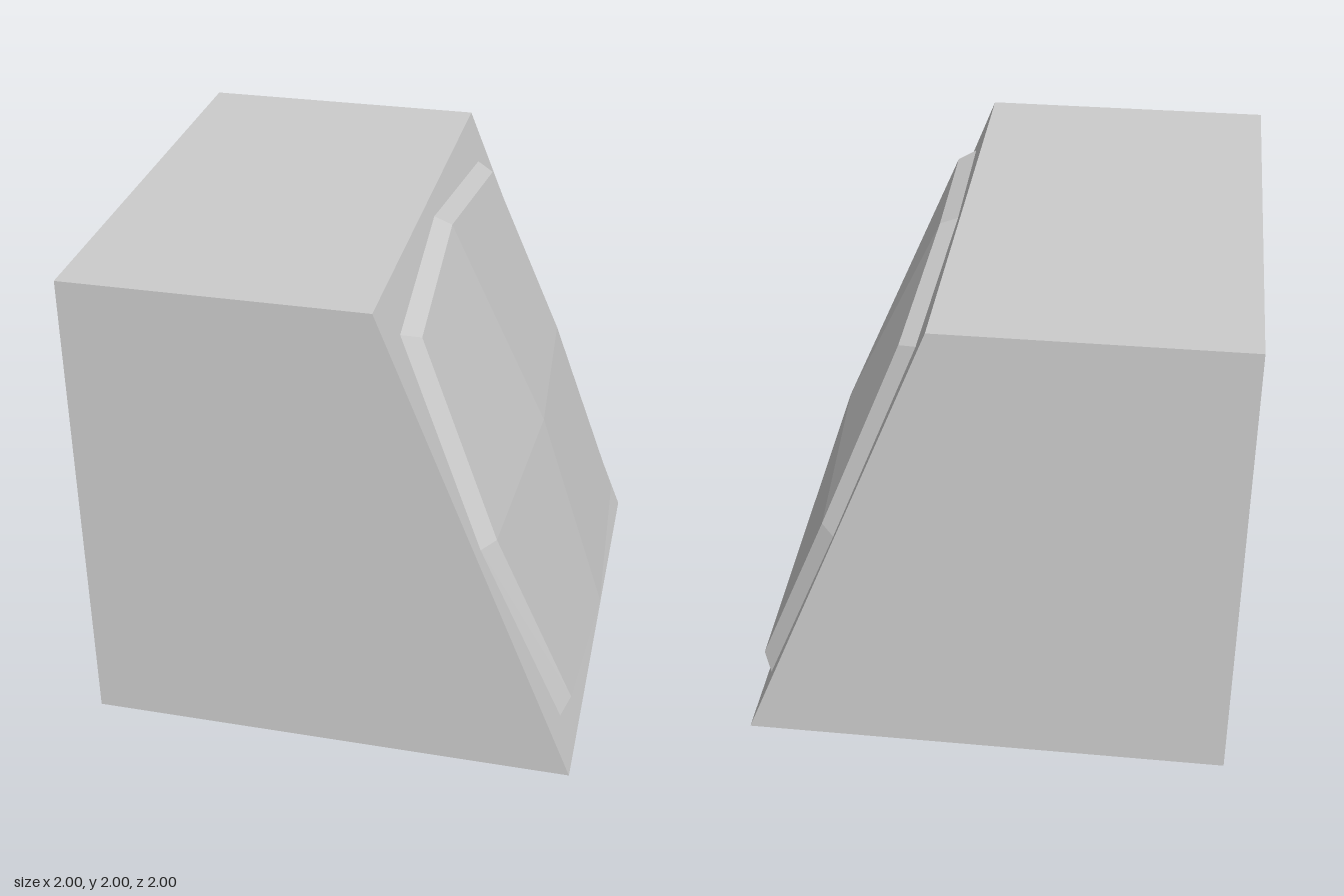
import * as THREE from 'three';

const TOP_X = 0.185, BOTTOM_X = 0.99;

// Eight-point outline, counter-clockwise: edge midpoints bow out past the corners
function outline(midX, midY, cornerX, cornerY, z) {
  return [
    [midX, 0], [cornerX, cornerY], [0, midY], [-cornerX, cornerY],
    [-midX, 0], [-cornerX, -cornerY], [0, -midY], [cornerX, -cornerY],
  ].map(([x, y]) => new THREE.Vector3(x, y, z));
}

// Flat-shaded quads: both halves share one normal, split along a-c
function quadGeometry(quads) {
  const positions = [], normals = [];
  for (const [a, b, c, d] of quads) {
    const n = c.clone().sub(a).cross(d.clone().sub(b)).normalize();
    for (const p of [a, b, c, a, c, d]) {
      positions.push(p.x, p.y, p.z);
      normals.push(n.x, n.y, n.z);
    }
  }
  const geometry = new THREE.BufferGeometry();
  geometry.setAttribute('position', new THREE.Float32BufferAttribute(positions, 3));
  geometry.setAttribute('normal', new THREE.Float32BufferAttribute(normals, 3));
  return geometry;
}

export function createModel() {
  const model = new THREE.Group();
  const material = new THREE.MeshStandardMaterial({ color: 0xcccccc });
  const add = (parent, name, geometry) => {
    const mesh = new THREE.Mesh(geometry, material);
    mesh.name = name;
    parent.add(mesh);
  };

  // Wedge-shaped body with one sloping side
  const profile = new THREE.Shape([
    new THREE.Vector2(-1, 0), new THREE.Vector2(BOTTOM_X, 0),
    new THREE.Vector2(TOP_X, 2), new THREE.Vector2(-1, 2),
  ]);
  const body = new THREE.ExtrudeGeometry(profile, { depth: 2, bevelEnabled: false });
  add(model, 'body', body.translate(0, 0, -1));

  // Raised panel, laid out in the plane of the slope (z points outward)
  const panel = new THREE.Group();
  panel.name = 'raisedPanel';
  const up = new THREE.Vector3(TOP_X - BOTTOM_X, 2, 0).normalize();
  const across = new THREE.Vector3(0, 0, -1);
  const outward = across.clone().cross(up);
  panel.quaternion.setFromRotationMatrix(new THREE.Matrix4().makeBasis(across, up, outward));
  panel.position.set((TOP_X + BOTTOM_X) / 2, 1, 0);
  model.add(panel);

  const outer = outline(0.93, 1.007, 0.835, 0.903, 0);
  const inner = outline(0.88, 0.952, 0.79, 0.852, 0.058);

  // Sloping rim around the panel
  add(panel, 'panelRim', quadGeometry(outer.map((p, i) => {
    const j = (i + 1) % 8;
    return [p, outer[j], inner[j], inner[i]];
  })));

  // Bulging face: four quarters meeting at the centre
  const centre = new THREE.Vector3(0, 0, 0.12);
  add(panel, 'panelFace', quadGeometry([0, 2, 4, 6].map(
    (i) => [centre, inner[i], inner[i + 1], inner[(i + 2) % 8]])));

  return model;
}
